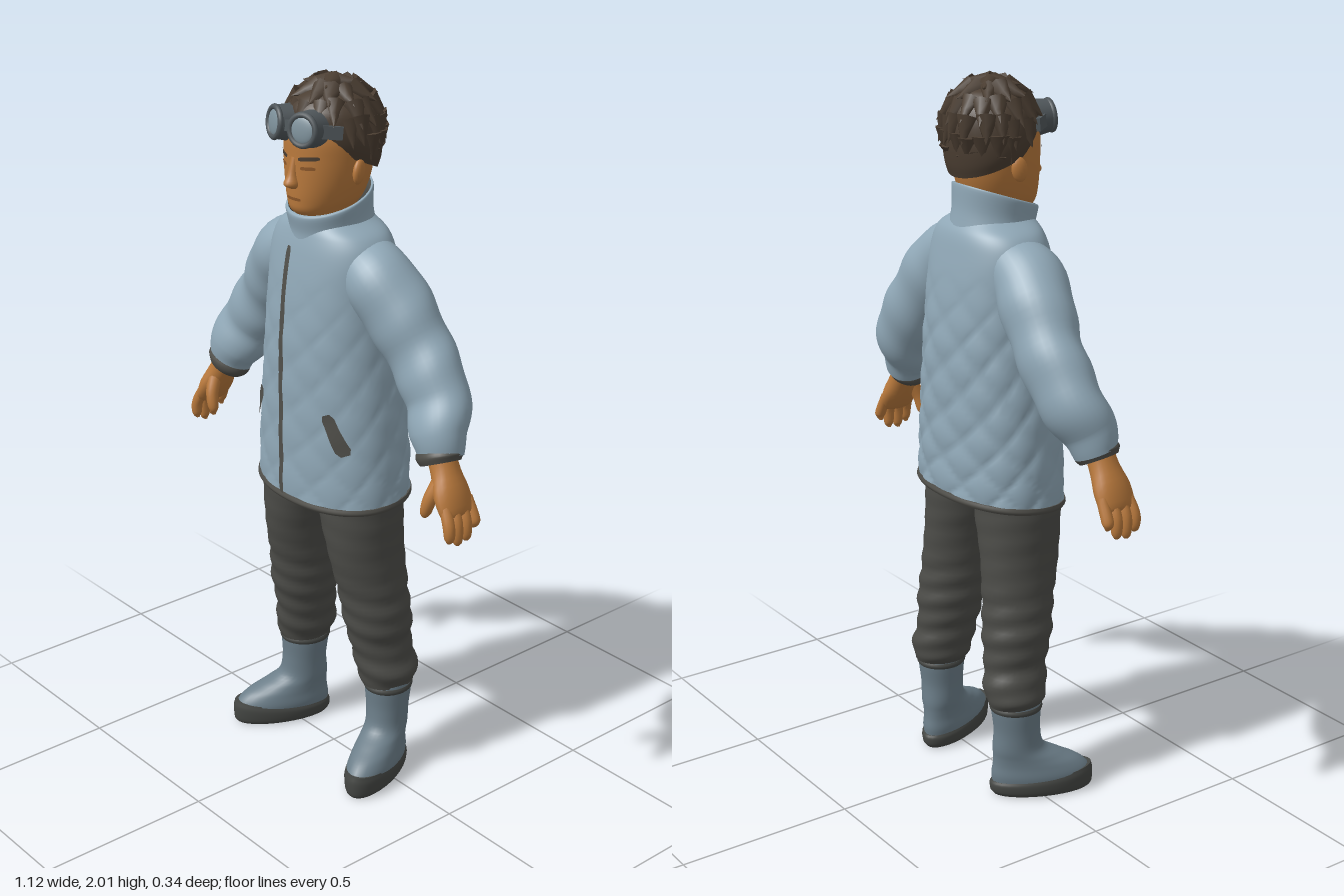
import * as THREE from 'three';

const mat = (name, color) => Object.assign(new THREE.MeshStandardMaterial({ color }), { name });
const M = {
  jacket: mat('jacket blue', 0x90a8b7), trim: mat('dark trim', 0x504f4a),
  trousers: mat('trouser grey', 0x4c4c48), boot: mat('boot blue grey', 0x6c7e89),
  sole: mat('sole grey', 0x454744), skin: mat('skin', 0xb9793c),
  lip: mat('dark skin', 0x8c5729), hair: mat('hair brown', 0x4a3d31),
  frame: mat('goggle frame', 0x4f565a), lens: mat('goggle lens', 0x7f929c),
};

function add(parent, name, geo, material) {
  const m = new THREE.Mesh(geo, material);
  m.name = name;
  parent.add(m);
  return m;
}

// Smooth skin over elliptical sections [x, y, z, rx, rz, tilt]; "along" turns sections to follow the path.
function loft(secs, { n = 32, rows = 24, power = 2, along = false, caps = true, bump = null } = {}) {
  const curve = new THREE.CatmullRomCurve3(secs.map(s => new THREE.Vector3(s[0], s[1], s[2])), false, 'catmullrom');
  const size = new THREE.CatmullRomCurve3(secs.map(s => new THREE.Vector3(s[3], s[4], s[5] || 0)), false, 'catmullrom');
  const pos = [], idx = [], Z = new THREE.Vector3(0, 0, 1), f = v => Math.sign(v) * Math.abs(v) ** (2 / power);
  for (let i = 0; i <= rows; i++) {
    const c = curve.getPoint(i / rows), r = size.getPoint(i / rows);
    const t = along ? curve.getTangent(i / rows) : new THREE.Vector3(0, 1, 0);
    const u = t.clone().cross(Z).normalize(), w = u.clone().cross(t);
    for (let j = 0; j < n; j++) {
      const a = j / n * Math.PI * 2;
      const b = bump ? bump(c.y, a) : 0;
      const p = c.clone().addScaledVector(u, (r.x + b) * f(Math.cos(a))).addScaledVector(w, (r.y + b) * f(Math.sin(a)));
      p.y += r.z * p.z;
      pos.push(p.x, p.y, p.z);
    }
  }
  for (let i = 0; i < rows; i++) for (let j = 0; j < n; j++) {
    const a = i * n + j, b = i * n + (j + 1) % n, c = a + n, d = b + n;
    idx.push(a, c, b, b, c, d);
  }
  if (caps) for (const row of [0, rows]) {
    const base = pos.length / 3, mid = [0, 0, 0];
    for (let j = 0; j < n; j++) for (let k = 0; k < 3; k++) {
      const v = pos[(row * n + j) * 3 + k];
      mid[k] += v / n;
      pos.push(v);
    }
    pos.push(...mid);
    for (let j = 0; j < n; j++) {
      const p = base + j, q = base + (j + 1) % n;
      idx.push(base + n, ...(row ? [q, p] : [p, q]));
    }
  }
  const g = new THREE.BufferGeometry();
  g.setAttribute('position', new THREE.Float32BufferAttribute(pos, 3));
  g.setIndex(idx);
  g.computeVertexNormals();
  return g;
}

// Thin ribbon laid on the front of a mesh between two (x, y) points.
function strip(target, [x0, y0], [x1, y1], width, steps, lift = 0.005) {
  const ray = new THREE.Raycaster(), pos = [], idx = [];
  const len = Math.hypot(x1 - x0, y1 - y0), px = (y1 - y0) / len, py = -(x1 - x0) / len;
  for (let i = 0; i <= steps; i++) {
    const t = i / steps, w = width / 2 * (i === 0 || i === steps ? 0.6 : 1);
    for (const s of [-1, 1]) {
      const x = x0 + (x1 - x0) * t + px * w * s, y = y0 + (y1 - y0) * t + py * w * s;
      ray.set(new THREE.Vector3(x, y, 1), new THREE.Vector3(0, 0, -1));
      const hit = ray.intersectObject(target)[0];
      pos.push(x, y, (hit ? hit.point.z : 0.1) + lift);
    }
    if (i) idx.push(2 * i - 2, 2 * i - 1, 2 * i, 2 * i - 1, 2 * i + 1, 2 * i);
  }
  const g = new THREE.BufferGeometry();
  g.setAttribute('position', new THREE.Float32BufferAttribute(pos, 3));
  g.setIndex(idx);
  g.computeVertexNormals();
  return g;
}

// Diamond padding, strongest on the back and lower half.
function quilt(y, a) {
  const k = Math.PI / 0.13, v = Math.abs(Math.sin(k * (a * 0.207 + y)) * Math.sin(k * (a * 0.207 - y)));
  const fade = THREE.MathUtils.clamp((1.5 - y) / 0.2, 0, 1) * (Math.sin(a) < 0 ? 1 : 0.5);
  return (Math.sqrt(v) - 0.6) * 0.009 * fade;
}

function buildJacket(root) {
  const g = new THREE.Group();
  g.name = 'jacket';
  root.add(g);
  const body = add(g, 'jacketBody', loft([
    [0, 0.865, 0, 0.248, 0.164, -0.08], [0, 0.95, 0, 0.243, 0.164, -0.05], [0, 1.1, 0, 0.23, 0.163],
    [0, 1.3, 0, 0.208, 0.16], [0, 1.45, 0, 0.2, 0.147], [0, 1.54, 0, 0.195, 0.132],
    [0, 1.595, 0, 0.168, 0.118], [0, 1.63, 0.005, 0.11, 0.1]], { n: 96, rows: 84, power: 2.2, bump: quilt }), M.jacket);
  add(g, 'hem', loft([[0, 0.852, 0, 0.248, 0.166, -0.08], [0, 0.86, 0, 0.252, 0.17, -0.08],
    [0, 0.87, 0, 0.25, 0.167, -0.08]], { n: 64, rows: 6, power: 2.2 }), M.trim);
  add(g, 'collar', loft([[0, 1.575, 0.005, 0.125, 0.118, -0.1], [0, 1.63, 0.01, 0.112, 0.112, -0.25],
    [0, 1.685, 0.015, 0.117, 0.115, -0.34], [0, 1.692, 0.015, 0.11, 0.108, -0.34]], { n: 48, rows: 16, caps: false }), M.jacket);
  add(g, 'collarLining', loft([[0, 1.692, 0.015, 0.11, 0.108, -0.34], [0, 1.67, 0.015, 0.1, 0.1, -0.32],
    [0, 1.61, 0.01, 0.095, 0.095, -0.2]], { n: 48, rows: 8, caps: false }), M.trim);
  add(g, 'zip', strip(body, [-0.025, 0.855], [-0.025, 1.56], 0.018, 40), M.trim);
  for (const s of [-1, 1]) {
    add(g, 'pocket', strip(body, [s * 0.185, 1.02], [s * 0.135, 1.13], 0.034, 8, 0.007), M.trim);
    add(g, 'sleeve', loft([
      [0.11, 1.54, 0, 0.07, 0.085], [0.2, 1.465, -0.008, 0.1, 0.1], [0.3, 1.335, -0.03, 0.098, 0.086],
      [0.385, 1.22, -0.025, 0.096, 0.08], [0.43, 1.135, 0.008, 0.085, 0.068], [0.448, 1.085, 0.02, 0.066, 0.056],
    ].map(([x, ...r]) => [s * x, ...r]), { rows: 40, along: true,
      bump: (y, a) => 0.003 * Math.sin(y * 55 + Math.sin(a) * 1.5) }), M.jacket);
    add(g, 'cuff', loft([[s * 0.443, 1.096, 0.018, 0.066, 0.056], [s * 0.448, 1.083, 0.02, 0.069, 0.058],
      [s * 0.455, 1.068, 0.022, 0.058, 0.05]], { rows: 6, along: true }), M.trim);
  }
}

function buildHand(root, s) {
  const g = new THREE.Group();
  g.name = 'hand';
  root.add(g);
  const tube = (name, secs, n = 12) => add(g, name, loft(secs.map(([x, ...r]) => [s * x, ...r]), { n, rows: 12, along: true }), M.skin);
  tube('palm', [[0.45, 1.1, 0.02, 0.04, 0.038], [0.475, 1.05, 0.023, 0.036, 0.042], [0.503, 1.0, 0.027, 0.034, 0.056],
    [0.527, 0.955, 0.028, 0.023, 0.054], [0.532, 0.945, 0.028, 0.01, 0.04]], 20);
  // four fingers, then the thumb
  [[-0.017, 0.905], [0.012, 0.877], [0.043, 0.872], [0.071, 0.885]].forEach(([z, tip]) =>
    tube('finger', [[0.515, 0.985, z * 0.9, 0.016, 0.015], [0.541, 0.935, z, 0.017, 0.016],
      [0.545, tip + 0.015, z, 0.014, 0.014], [0.54, tip, z, 0.004, 0.004]]));
  tube('thumb', [[0.48, 1.03, 0.05, 0.022, 0.02], [0.468, 0.985, 0.07, 0.019, 0.018],
    [0.457, 0.945, 0.075, 0.015, 0.015], [0.453, 0.928, 0.074, 0.004, 0.004]]);
}

function buildLeg(root, s) {
  add(root, 'trouserLeg', loft([
    [0.12, 0.92, 0.005, 0.115, 0.12], [0.122, 0.82, 0.005, 0.115, 0.12], [0.138, 0.7, 0, 0.096, 0.115],
    [0.152, 0.57, -0.015, 0.092, 0.103], [0.162, 0.48, -0.025, 0.092, 0.1], [0.167, 0.4, -0.034, 0.08, 0.091],
    [0.182, 0.32, -0.045, 0.084, 0.09], [0.185, 0.28, -0.045, 0.068, 0.076],
  ].reverse().map(([x, ...r]) => [s * x, ...r]), { rows: 50,
    bump: (y, a) => (y < 0.62 ? 0.003 : 0.001) * Math.sin(y * 95 + Math.cos(a) * 2) }), M.trousers);

  const boot = new THREE.Group();
  boot.name = 'boot';
  boot.position.set(s * 0.187, 0, -0.045);
  boot.rotation.y = s * 0.4;
  root.add(boot);
  add(boot, 'bootUpper', loft([[0, 0.03, 0.075, 0.062, 0.142], [0, 0.06, 0.073, 0.066, 0.143], [0, 0.09, 0.06, 0.062, 0.126],
    [0, 0.115, 0.035, 0.059, 0.1], [0, 0.145, 0.008, 0.058, 0.074], [0, 0.2, 0.003, 0.06, 0.066],
    [0, 0.265, 0, 0.066, 0.071], [0, 0.3, 0, 0.064, 0.07]], { rows: 36 }), M.boot);
  add(boot, 'bootSole', loft([[0, 0, 0.075, 0.056, 0.14], [0, 0.012, 0.075, 0.066, 0.148], [0, 0.035, 0.075, 0.069, 0.15, 0.06],
    [0, 0.048, 0.075, 0.064, 0.145, 0.1]], { rows: 12 }), M.sole);
  add(boot, 'bootBand', loft([[0, 0.262, 0, 0.067, 0.072], [0, 0.27, 0, 0.07, 0.075], [0, 0.278, 0, 0.067, 0.072]], { rows: 4 }), M.sole);
}

function buildHead(root) {
  const g = new THREE.Group();
  g.name = 'head';
  root.add(g);
  const face = add(g, 'face', loft([
    [0, 1.56, 0, 0.062, 0.065], [0, 1.63, 0.02, 0.064, 0.08], [0, 1.66, 0.035, 0.072, 0.097], [0, 1.69, 0.028, 0.088, 0.11],
    [0, 1.74, 0.02, 0.104, 0.119], [0, 1.8, 0.015, 0.113, 0.123], [0, 1.86, 0.01, 0.114, 0.124],
    [0, 1.92, 0, 0.095, 0.108], [0, 1.96, 0, 0.05, 0.06]], { n: 48, rows: 48 }), M.skin);
  add(g, 'nose', loft([[0, 1.722, 0.135, 0.012, 0.01], [0, 1.735, 0.141, 0.02, 0.024],
    [0, 1.76, 0.137, 0.013, 0.016], [0, 1.805, 0.132, 0.009, 0.008]], { n: 16, rows: 12 }), M.skin);
  add(g, 'mouth', strip(face, [-0.027, 1.695], [0.027, 1.695], 0.008, 8, 0.002), M.lip);
  for (const s of [-1, 1]) {
    add(g, 'eyebrow', strip(face, [s * 0.022, 1.803], [s * 0.075, 1.81], 0.011, 6, 0.003), M.hair);
    add(g, 'eye', strip(face, [s * 0.027, 1.78], [s * 0.066, 1.782], 0.009, 6, 0.002), M.lip);
    const ear = add(g, 'ear', new THREE.SphereGeometry(1, 16, 12), M.skin);
    ear.scale.set(0.013, 0.034, 0.022);
    ear.position.set(s * 0.114, 1.768, 0.012);
    ear.rotation.set(-0.15, s * 0.3, 0);
  }

  // hair cap with overlapping locks
  add(g, 'hairCap', loft([[0, 1.79, 0, 0.116, 0.112, 0.42], [0, 1.825, 0, 0.128, 0.121, 0.38], [0, 1.87, 0, 0.129, 0.125, 0.25],
    [0, 1.92, 0, 0.115, 0.116, 0.1], [0, 1.96, 0, 0.076, 0.082], [0, 1.982, 0, 0.02, 0.02]], { n: 40, rows: 24 }), M.hair);
  let seed = 7;
  const rnd = () => (seed = (seed * 16807) % 2147483647) / 2147483647;
  for (const [deg, count] of [[78, 4], [55, 10], [30, 15], [8, 18], [-15, 18], [-35, 16]]) {
    for (let i = 0; i < count; i++) {
      const el = THREE.MathUtils.degToRad(deg + rnd() * 8 - 4), az = (i + rnd() * 0.5 + deg) / count * Math.PI * 2;
      const nrm = new THREE.Vector3(Math.cos(el) * Math.sin(az), Math.sin(el), Math.cos(el) * Math.cos(az));
      if ((deg < 25 && nrm.z > 0.45) || (deg < -5 && nrm.z > 0.12) || (deg < -30 && nrm.z > -0.2)) continue;
      const down = new THREE.Vector3(-Math.sin(el) * Math.sin(az), Math.cos(el), -Math.sin(el) * Math.cos(az)).negate();
      down.addScaledVector(nrm, 0.3).normalize();
      const lock = add(g, 'hairLock', new THREE.ConeGeometry(0.026 + rnd() * 0.008, 0.075, 7, 2), M.hair);
      lock.position.set(nrm.x * 0.122, 1.868 + nrm.y * 0.113, nrm.z * 0.116).addScaledVector(down, 0.018);
      lock.quaternion.setFromUnitVectors(new THREE.Vector3(0, 1, 0), down);
    }
  }

  // goggles pushed up on the forehead
  const goggles = new THREE.Group();
  goggles.name = 'goggles';
  goggles.position.set(0, 1.885, 0.128);
  goggles.rotation.x = -0.12;
  g.add(goggles);
  for (const s of [-1, 1]) {
    const eye = new THREE.Group();
    eye.name = 'eyepiece';
    eye.position.x = s * 0.05;
    eye.rotation.y = s * 0.28;
    goggles.add(eye);
    const cup = add(eye, 'cup', new THREE.CylinderGeometry(0.043, 0.05, 0.05, 28), M.frame);
    cup.rotation.x = Math.PI / 2;
    add(eye, 'rim', new THREE.TorusGeometry(0.039, 0.008, 10, 28), M.frame).position.z = 0.024;
    const glass = add(eye, 'lens', new THREE.SphereGeometry(0.035, 24, 12), M.lens);
    glass.scale.z = 0.25;
    glass.position.z = 0.024;
    const strap = add(goggles, 'strap', new THREE.BoxGeometry(0.012, 0.034, 0.06), M.frame);
    strap.position.set(s * 0.1, 0, -0.035);
    strap.rotation.y = -s * 0.6;
  }
  add(goggles, 'bridge', new THREE.BoxGeometry(0.04, 0.028, 0.035), M.frame).position.z = 0.008;
}

export function createModel() {
  const root = new THREE.Group();
  root.name = 'figure';
  buildJacket(root);
  buildHead(root);
  for (const s of [-1, 1]) {
    buildHand(root, s);
    buildLeg(root, s);
  }
  return root;
}
